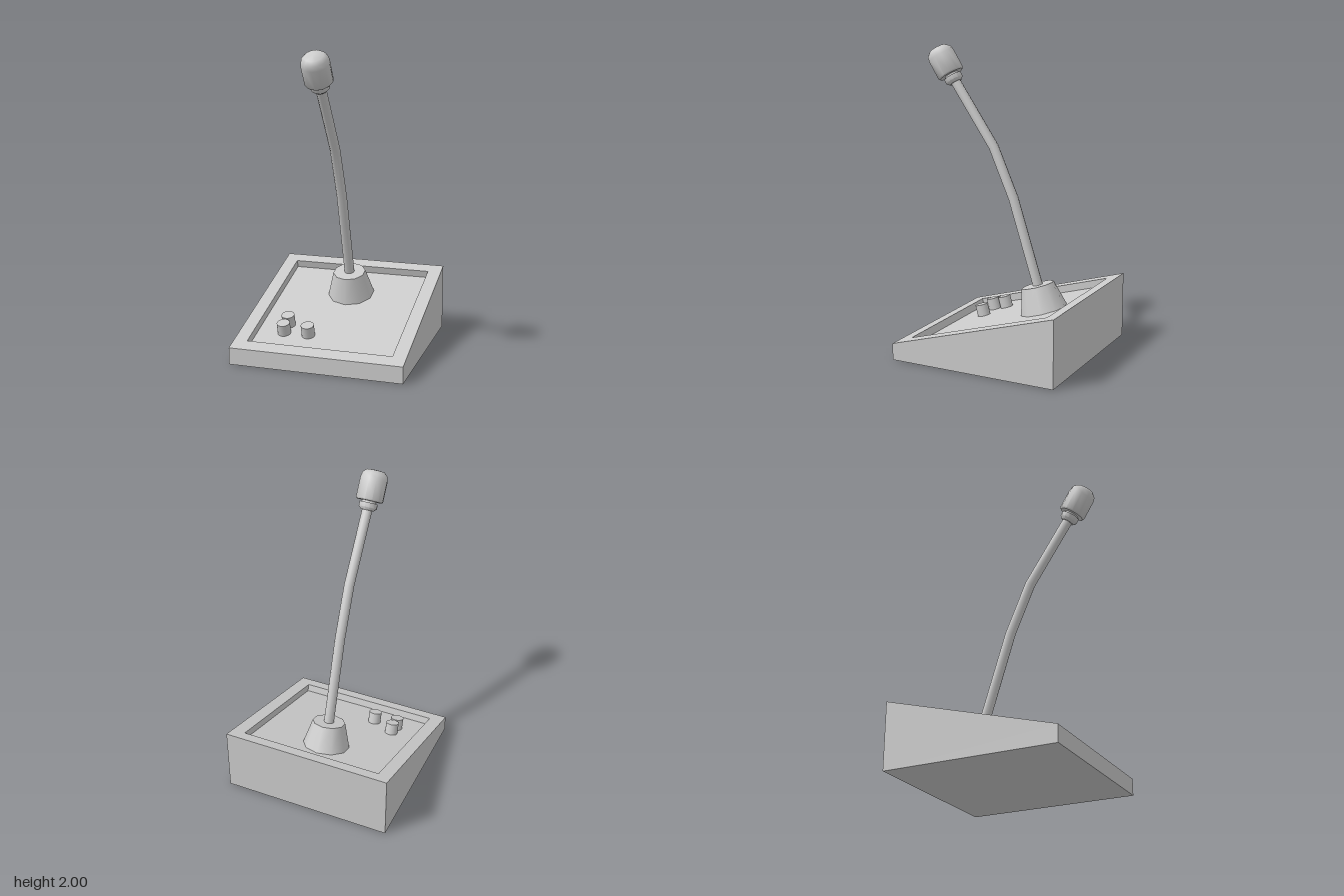
import * as THREE from 'three';
import { toCreasedNormals } from 'three/addons/utils/BufferGeometryUtils.js';

const FRONT = 0.555, BACK = -0.585, HALF = 0.57;
const SLOPE = 0.29, TILT = Math.atan(SLOPE), RECESS = 0.05;
const topY = z => 0.11 + SLOPE * (FRONT - z);

const material = new THREE.MeshStandardMaterial({ color: 0xcccccc });

function add(parent, name, geometry, x = 0, y = 0, z = 0) {
  const mesh = new THREE.Mesh(geometry, material);
  mesh.name = name;
  mesh.position.set(x, y, z);
  parent.add(mesh);
  return mesh;
}

// Wedge with a sunken top: four-cornered rings joined from the foot, over the rim, to the floor
function baseGeometry() {
  const ring = (hx, zf, zb, yAt, dz = 0, dy = 0) =>
    [[-hx, zf], [hx, zf], [hx, zb], [-hx, zb]].map(([x, z]) => [x, yAt(z) + dy, z + dz]);
  const rings = [
    ring(HALF, FRONT, BACK, () => 0),
    ring(HALF, FRONT, BACK, topY),
    ring(0.48, 0.465, -0.5, topY),
    ring(0.48, 0.465, -0.5, topY, -RECESS * Math.sin(TILT), -RECESS * Math.cos(TILT)),
  ];
  const positions = [];
  const quad = (a, b, c, d) => positions.push(...a, ...b, ...c, ...a, ...c, ...d);
  for (let r = 0; r < 3; r++) {
    for (let i = 0; i < 4; i++) {
      const j = (i + 1) % 4;
      quad(rings[r][i], rings[r][j], rings[r + 1][j], rings[r + 1][i]);
    }
  }
  quad(...rings[3]);
  quad(...[...rings[0]].reverse());
  const geometry = new THREE.BufferGeometry();
  geometry.setAttribute('position', new THREE.Float32BufferAttribute(positions, 3));
  geometry.computeVertexNormals();
  return geometry;
}

// Open cylinder whose rings are moved onto a bent path of [z, y] points, top first
function armGeometry(path, radius) {
  const sides = 10, rows = path.length - 1;
  const geometry = new THREE.CylinderGeometry(radius, radius, 1, sides, rows, true);
  const p = geometry.attributes.position;
  for (let i = 0; i < p.count; i++) {
    const row = Math.floor(i / (sides + 1));
    const [z0, y0] = path[Math.min(row + 1, rows)], [z1, y1] = path[Math.max(row - 1, 0)];
    const lean = Math.atan2(z1 - z0, y1 - y0);
    const [z, y] = path[row], across = p.getZ(i);
    p.setXYZ(i, p.getX(i), y - across * Math.sin(lean), z + across * Math.cos(lean));
  }
  return toCreasedNormals(geometry, 0.8);
}

export function createModel() {
  const model = new THREE.Group();
  model.name = 'deskMicrophone';
  add(model, 'base', baseGeometry());

  // Tilted floor of the recess, carrying the controls and the socket
  const deck = new THREE.Group();
  deck.name = 'deck';
  deck.position.set(0, topY(0) - RECESS * Math.cos(TILT), -RECESS * Math.sin(TILT));
  deck.rotation.x = TILT;
  model.add(deck);

  const knob = new THREE.CylinderGeometry(0.043, 0.043, 0.078, 20);
  [[-0.3, 0.195], [-0.3, 0.289], [-0.135, 0.289]].forEach(([x, z], i) =>
    add(deck, 'knob' + (i + 1), knob, x, 0.039, z));
  add(deck, 'socket', new THREE.CylinderGeometry(0.109, 0.156, 0.17, 10), 0, 0.085, -0.25);

  // Bent gooseneck
  const path = [[0.405, 1.77], [0.115, 1.345], [-0.03, 1.015], [-0.215, 0.435]];
  add(model, 'gooseneck', armGeometry(path, 0.033));

  // Capsule with a rounded tip and a stepped collar
  const profile = [
    [0, -0.06], [0.042, -0.06], [0.06, -0.042], [0.06, -0.012], [0.048, -0.012], [0.048, 0],
    [0.082, 0], [0.09, 0.008], [0.09, 0.14], [0.083, 0.172], [0.06, 0.194], [0, 0.2],
  ].map(([r, y]) => new THREE.Vector2(r, y));
  const head = add(model, 'microphoneHead',
    toCreasedNormals(new THREE.LatheGeometry(profile, 12), 0.8), 0, 1.8, 0.425);
  head.rotation.x = 0.56;
  return model;
}
